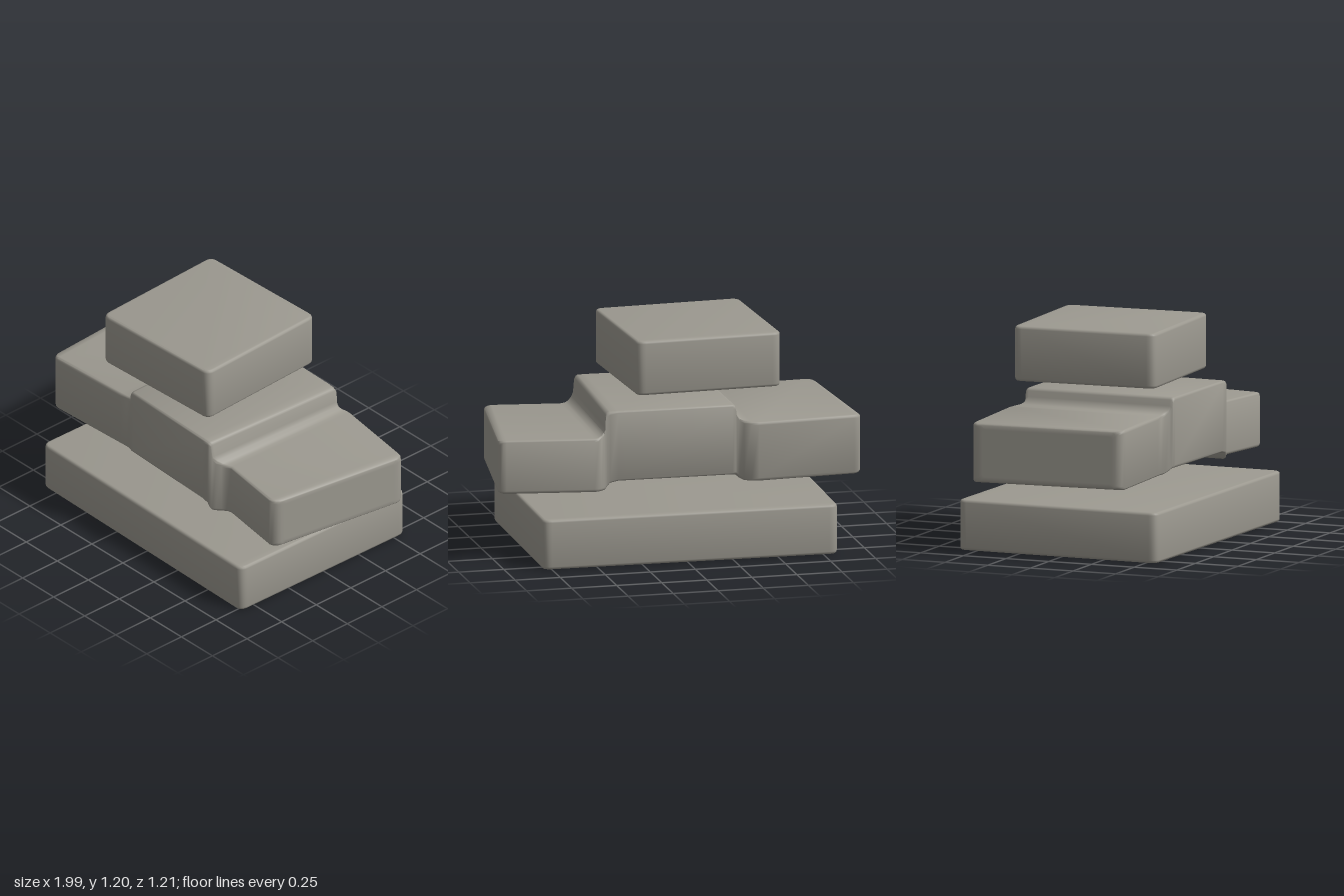
import * as THREE from 'three';
import { toCreasedNormals } from 'three/addons/utils/BufferGeometryUtils.js';

// Warm stone grey
const material = new THREE.MeshStandardMaterial({ color: 0x9c9990 });

function makeMesh(name, geometry) {
  const mesh = new THREE.Mesh(toCreasedNormals(geometry, 0.75), material);
  mesh.name = name;
  return mesh;
}

// Slightly skewed slab: four [x, z] corners, rounded uprights and soft rims
function slab(name, corners, y0, y1, radius = 0.05, bevel = 0.016) {
  const pts = corners.map(([x, z]) => new THREE.Vector2(x, -z));
  const towards = (a, b) => a.clone().add(b.clone().sub(a).setLength(radius));
  const shape = new THREE.Shape();
  pts.forEach((p, i) => {
    const a = towards(p, pts[(i + 3) % 4]);
    const b = towards(p, pts[(i + 1) % 4]);
    if (i === 0) shape.moveTo(a.x, a.y);
    else shape.lineTo(a.x, a.y);
    shape.quadraticCurveTo(p.x, p.y, b.x, b.y);
  });
  shape.closePath();
  const geometry = new THREE.ExtrudeGeometry(shape, {
    depth: y1 - y0 - 2 * bevel, curveSegments: 6,
    bevelSize: bevel, bevelThickness: bevel, bevelOffset: -bevel, bevelSegments: 3,
  });
  geometry.rotateX(-Math.PI / 2).translate(0, y0 + bevel, 0);
  return makeMesh(name, geometry);
}

// Rounded end sections; side is -1 for the low-x end, 1 for the high-x end
function roundedEnd([xB, zB, xF, zF, y0, y1], side, radius = 0.045) {
  const mix = THREE.MathUtils.lerp;
  const section = (inset, dx, lift) => {
    const d = inset / (zF - zB);
    return [mix(xB, xF, d) + dx, mix(zB, zF, d), mix(xF, xB, d) + dx, mix(zF, zB, d),
      y0 + lift, y1 - lift];
  };
  // Flat inner face first, then the quarter round
  const sections = [section(radius + 0.02, 0, 0.035)];
  for (let s = 0; s <= 4; s++) {
    const a = (s / 4) * Math.PI / 2;
    const rest = 1 - Math.sin(a);
    sections.push(section(radius * rest, -side * radius * (1 - Math.cos(a)), 0.014 * rest));
  }
  return side < 0 ? sections : sections.reverse();
}

// Loft of rounded rectangles along x: [xBack, zBack, xFront, zFront, yLow, yHigh]
function loft(name, sections, r = 0.018) {
  const positions = [];
  const index = [];
  const steps = 4;
  const n = 4 * (steps + 1);
  for (const [xB, zB, xF, zF, y0, y1] of sections) {
    for (let k = 0; k < 4; k++) {
      const cz = k === 0 || k === 3 ? zF - r : zB + r;
      const cy = k < 2 ? y1 - r : y0 + r;
      for (let s = 0; s <= steps; s++) {
        const a = (k + s / steps) * Math.PI / 2;
        const z = cz + r * Math.cos(a);
        const x = THREE.MathUtils.lerp(xB, xF, (z - zB) / (zF - zB));
        positions.push(x, cy + r * Math.sin(a), z);
      }
    }
  }
  const last = (sections.length - 1) * n;
  for (let i = 0; i < last; i += n) {
    for (let j = 0; j < n; j++) {
      const k = (j + 1) % n;
      index.push(i + j, i + n + j, i + n + k, i + j, i + n + k, i + k);
    }
  }
  // End caps
  for (let j = 1; j < n - 1; j++) {
    index.push(0, j, j + 1, last, last + j + 1, last + j);
  }
  const geometry = new THREE.BufferGeometry();
  geometry.setAttribute('position', new THREE.Float32BufferAttribute(positions, 3));
  geometry.setIndex(index);
  return makeMesh(name, geometry);
}

export function createModel() {
  const model = new THREE.Group();
  model.name = 'floatingSlabs';

  // Wide bottom slab
  model.add(slab('bottomSlab',
    [[-0.83, -0.607], [-0.852, 0.568], [0.782, 0.6], [0.8, -0.575]], 0, 0.275));

  // Middle slab: two lower wings flowing into a raised centre
  model.add(loft('middleSlab', [
    ...roundedEnd([-1, -0.457, -0.948, 0.412, 0.4, 0.728], -1),
    [-0.42, -0.49, -0.42, 0.39, 0.4, 0.728],
    [-0.38, -0.483, -0.37, 0.388, 0.4, 0.729],
    [-0.345, -0.458, -0.335, 0.395, 0.401, 0.735],
    [-0.322, -0.44, -0.315, 0.41, 0.412, 0.748],
    [-0.31, -0.434, -0.303, 0.422, 0.424, 0.77],
    [-0.306, -0.434, -0.299, 0.426, 0.427, 0.803],
    [-0.3, -0.435, -0.292, 0.428, 0.429, 0.813],
    [-0.285, -0.437, -0.277, 0.43, 0.43, 0.818],
    [0.345, -0.425, 0.31, 0.454, 0.43, 0.818],
    [0.39, -0.423, 0.352, 0.455, 0.42, 0.817],
    [0.406, -0.422, 0.363, 0.453, 0.4, 0.811],
    [0.414, -0.422, 0.371, 0.448, 0.388, 0.8],
    [0.418, -0.424, 0.378, 0.443, 0.385, 0.73],
    [0.426, -0.43, 0.393, 0.43, 0.384, 0.705],
    [0.442, -0.443, 0.415, 0.41, 0.384, 0.69],
    [0.462, -0.456, 0.437, 0.393, 0.384, 0.683],
    [0.485, -0.458, 0.465, 0.386, 0.384, 0.681],
    ...roundedEnd([1, -0.387, 0.877, 0.442, 0.384, 0.681], 1),
  ]));

  // Small top slab
  model.add(slab('topSlab',
    [[-0.568, -0.397], [-0.533, 0.42], [0.277, 0.385], [0.24, -0.425]], 0.895, 1.195));

  return model;
}
